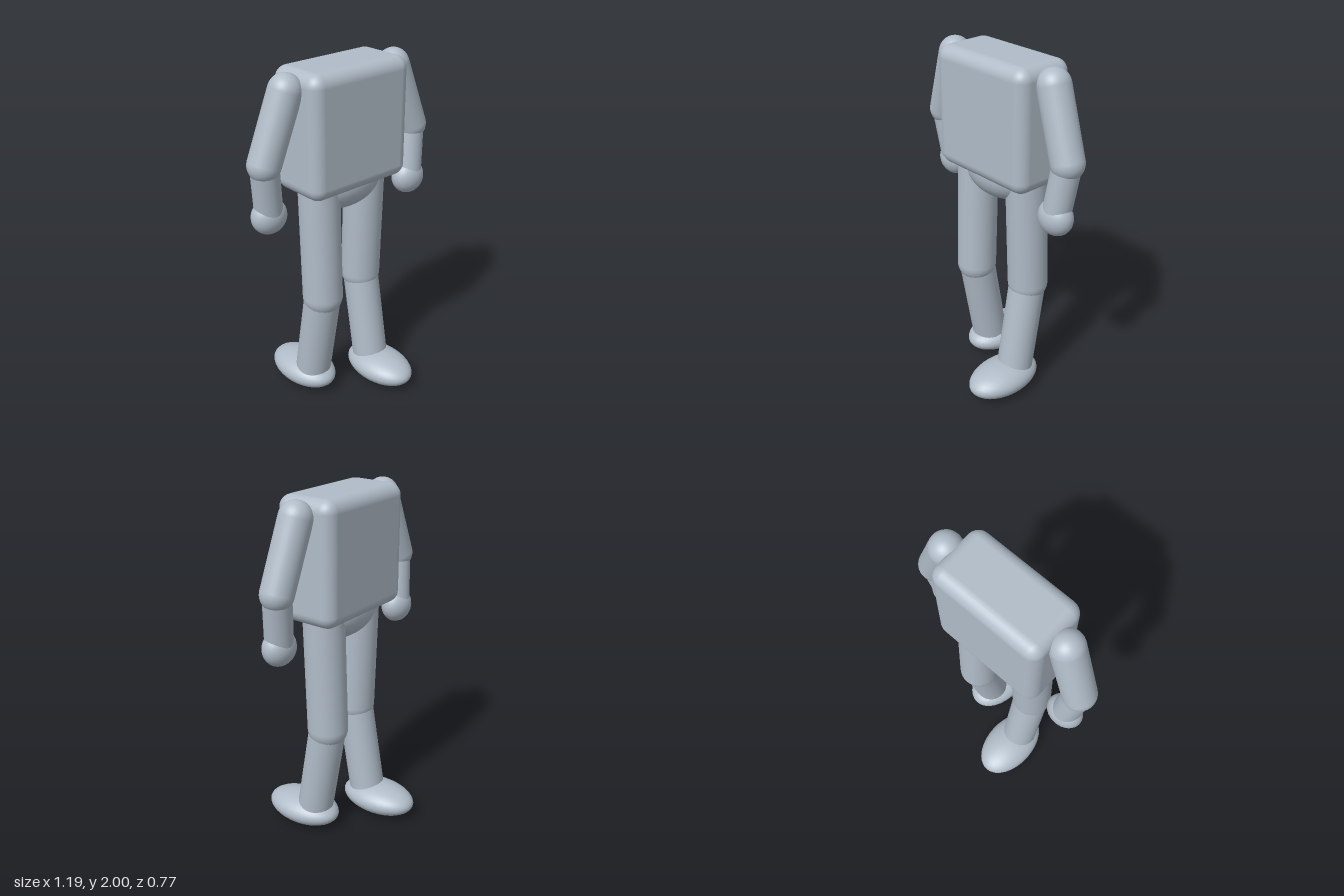
import * as THREE from 'three';
import { RoundedBoxGeometry } from 'three/addons/geometries/RoundedBoxGeometry.js';

const V = (x, y, z) => new THREE.Vector3(x, y, z);

export function createModel() {
  const model = new THREE.Group();
  model.name = 'walkingFigure';
  const skin = new THREE.MeshStandardMaterial({ color: 0xb0bcc8 });
  skin.name = 'paleBlueGrey';

  const add = (parent, name, geometry, position) => {
    const mesh = new THREE.Mesh(geometry, skin);
    mesh.name = name;
    mesh.position.copy(position);
    parent.add(mesh);
    return mesh;
  };

  // Sphere scaled to the given half sizes
  const ellipsoid = (parent, name, center, rx, ry = rx, rz = rx) =>
    add(parent, name, new THREE.SphereGeometry(1, 32, 20).scale(rx, ry, rz), center);

  // Straight round limb between two joints
  const limb = (parent, name, a, b, radius) => {
    const dir = b.clone().sub(a);
    const geometry = new THREE.CylinderGeometry(radius, radius, dir.length(), 32);
    const mesh = add(parent, name, geometry, a.clone().add(b).multiplyScalar(0.5));
    mesh.quaternion.setFromUnitVectors(V(0, 1, 0), dir.normalize());
  };

  // Torso and pelvis
  add(model, 'torso', new RoundedBoxGeometry(0.67, 0.675, 0.358, 4, 0.07), V(0, 1.662, 0));
  ellipsoid(model, 'pelvis', V(0, 1.34, 0), 0.25, 0.16, 0.155);

  // The right side is the left side turned half way round, giving the stride
  for (const side of ['left', 'right']) {
    const half = new THREE.Group();
    half.name = side + 'Limbs';
    if (side === 'right') half.rotation.y = Math.PI;
    model.add(half);

    // Arm
    const shoulder = V(0.375, 1.91, 0);
    const elbow = V(0.506, 1.545, 0.022);
    const wrist = V(0.467, 1.24, 0.053);
    ellipsoid(half, side + 'Shoulder', shoulder, 0.09);
    limb(half, side + 'UpperArm', shoulder, elbow, 0.09);
    ellipsoid(half, side + 'Elbow', elbow, 0.09);
    limb(half, side + 'Forearm', elbow, wrist, 0.077);
    ellipsoid(half, side + 'Hand', wrist, 0.104, 0.1, 0.082);

    // Leg
    const hip = V(0.18, 1.33, -0.015);
    const knee = V(0.18, 0.68, -0.037);
    const ankle = V(0.18, 0.1, 0.066);
    ellipsoid(half, side + 'Hip', hip, 0.115);
    limb(half, side + 'Thigh', hip, knee, 0.115);
    ellipsoid(half, side + 'Knee', knee, 0.115);
    limb(half, side + 'Shin', knee, ankle, 0.105);
    ellipsoid(half, side + 'Foot', V(0.178, 0.09, 0.15), 0.15, 0.09, 0.237);
  }
  return model;
}
